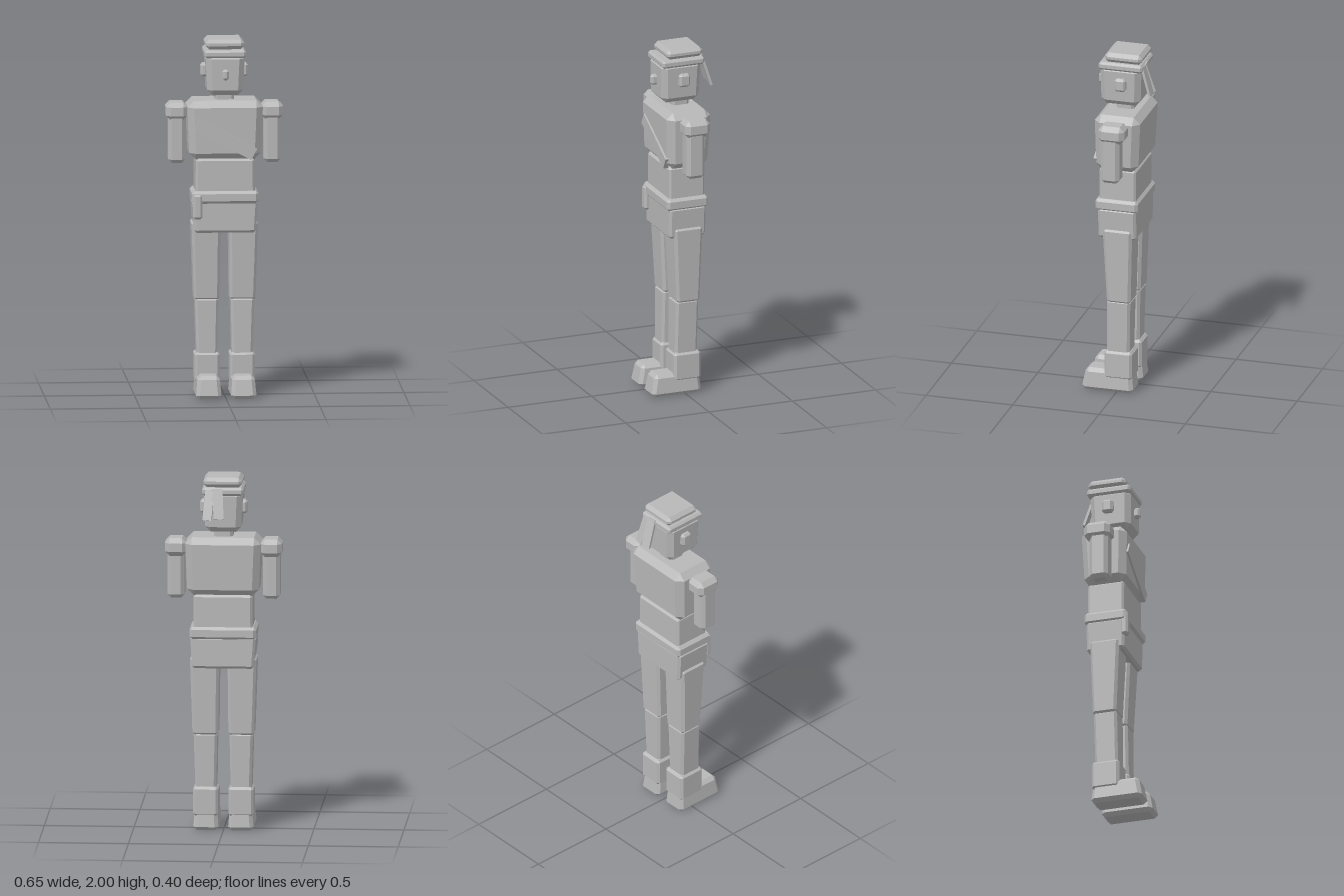
import * as THREE from 'three';
import { ConvexGeometry } from 'three/addons/geometries/ConvexGeometry.js';

const gray = new THREE.MeshStandardMaterial({ color: 0xb8b8b8 });
gray.name = 'plain gray';

// Chamfered block between two rectangles [x0, x1, z0, z1] at heights y0 and y1
function block(name, y0, y1, bottom, top, c) {
  const points = [];
  for (const sy of [-1, 1]) {
    const r = sy < 0 ? bottom : top;
    const y = sy < 0 ? y0 : y1;
    for (const sx of [-1, 1]) {
      for (const sz of [-1, 1]) {
        const x = sx < 0 ? r[0] : r[1];
        const z = sz < 0 ? r[2] : r[3];
        points.push(
          new THREE.Vector3(x - sx * c, y, z - sz * c),
          new THREE.Vector3(x, y - sy * c, z - sz * c),
          new THREE.Vector3(x - sx * c, y - sy * c, z),
        );
      }
    }
  }
  const mesh = new THREE.Mesh(new ConvexGeometry(points), gray);
  mesh.name = name;
  return mesh;
}

// Block centred on x = 0
const mid = (name, y0, y1, wb, wt, z0, z1, c) =>
  block(name, y0, y1, [-wb, wb, z0, z1], [-wt, wt, z0, z1], c);

// Plain thin plate
function plate(name, size, position, rotation) {
  const mesh = new THREE.Mesh(new THREE.BoxGeometry(...size), gray);
  mesh.name = name;
  mesh.position.set(...position);
  mesh.rotation.set(...rotation);
  return mesh;
}

// Block on one side, s = 1 for left and -1 for right
function sided(s, name, y0, y1, b, t, c) {
  const flip = (r) => (s > 0 ? r : [-r[1], -r[0], r[2], r[3]]);
  return block((s > 0 ? 'left' : 'right') + name, y0, y1, flip(b), flip(t), c);
}

export function createModel() {
  const model = new THREE.Group();
  model.name = 'figure';

  // Head and cap
  model.add(
    mid('capTop', 1.945, 2.0, 0.108, 0.108, -0.13, 0.087, 0.02),
    mid('capBand', 1.9, 1.945, 0.115, 0.115, -0.135, 0.118, 0.012),
    block('head', 1.69, 1.925, [-0.1, 0.1, -0.115, 0.112], [-0.108, 0.108, -0.122, 0.115], 0.03),
    mid('nose', 1.78, 1.84, 0.018, 0.018, 0.09, 0.146, 0.012),
    mid('neck', 1.63, 1.72, 0.053, 0.053, -0.068, 0.035, 0.015),
  );

  // Two cloth tails hanging behind the head
  model.add(
    plate('innerTail', [0.056, 0.17, 0.014], [0.024, 1.858, -0.16], [0.33, 0.1, -0.06]),
    plate('outerTail', [0.05, 0.17, 0.014], [0.077, 1.85, -0.155], [0.3, -0.1, 0.08]),
  );

  // Torso
  model.add(
    block('chest', 1.33, 1.66, [-0.2, 0.2, -0.13, 0.115], [-0.21, 0.21, -0.142, 0.12], 0.037),
    plate('sash', [0.36, 0.07, 0.03], [0, 1.447, 0.113], [0, 0, -0.49]),
    mid('waist', 1.12, 1.335, 0.165, 0.163, -0.113, 0.098, 0.012),
    mid('belt', 1.085, 1.155, 0.185, 0.185, -0.128, 0.118, 0.015),
    block('hips', 0.92, 1.1, [-0.172, 0.172, -0.117, 0.103], [-0.182, 0.182, -0.117, 0.103], 0.014),
    block('pouch', 1.0, 1.14, [-0.18, -0.128, 0.08, 0.126], [-0.18, -0.128, 0.08, 0.126], 0.012),
  );

  // Paired parts
  for (const s of [1, -1]) {
    const ear = [0.09, 0.132, -0.042, 0.022];
    const shoulder = [0.204, 0.326, -0.088, 0.063];
    const arm = [0.218, 0.313, -0.058, 0.05];
    const cuff = [0.028, 0.168, -0.09, 0.07];
    model.add(
      sided(s, 'Ear', 1.785, 1.86, ear, ear, 0.012),
      sided(s, 'Shoulder', 1.545, 1.645, shoulder, shoulder, 0.026),
      sided(s, 'Arm', 1.305, 1.58, arm, arm, 0.02),
      sided(s, 'Thigh', 0.535, 0.98, [0.028, 0.172, -0.083, 0.055], [0.024, 0.185, -0.095, 0.075], 0.015),
      sided(s, 'Shin', 0.22, 0.55, [0.04, 0.156, -0.073, 0.06], [0.034, 0.165, -0.079, 0.056], 0.014),
      sided(s, 'BootCuff', 0.08, 0.245, cuff, cuff, 0.014),
      sided(s, 'Foot', 0, 0.127, [0.027, 0.168, -0.095, 0.2], [0.034, 0.16, -0.085, 0.183], 0.02),
    );
  }
  return model;
}
